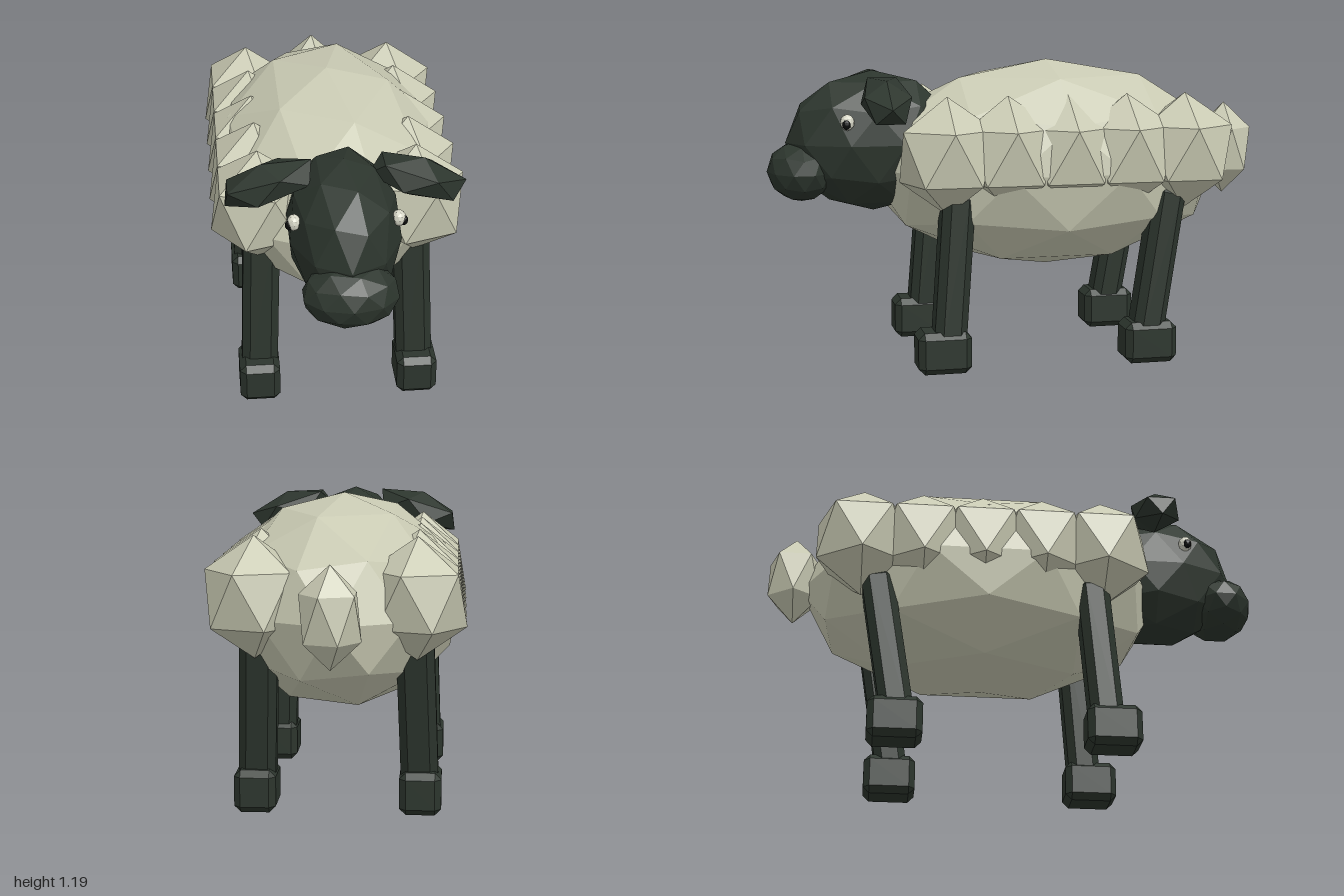
import * as THREE from 'three';
import { ConvexGeometry } from 'three/addons/geometries/ConvexGeometry.js';

// Faceted ball standing on a vertex, with flat normals
function facetedBall(detail) {
  const g = new THREE.IcosahedronGeometry(1, detail);
  g.rotateZ(-Math.atan(2 / (1 + Math.sqrt(5))));
  g.computeVertexNormals();
  return g;
}

// Box with all edges and corners cut off
function chamferBox(w, h, d, c) {
  const pts = [];
  for (const x of [-1, 1]) for (const y of [-1, 1]) for (const z of [-1, 1]) {
    const X = w / 2, Y = h / 2, Z = d / 2;
    pts.push(
      new THREE.Vector3(x * X, y * (Y - c), z * (Z - c)),
      new THREE.Vector3(x * (X - c), y * Y, z * (Z - c)),
      new THREE.Vector3(x * (X - c), y * (Y - c), z * Z));
  }
  return new ConvexGeometry(pts);
}

export function createModel() {
  const model = new THREE.Group();
  model.name = 'sheep';

  const material = (name, color) => {
    const m = new THREE.MeshStandardMaterial({ color });
    m.name = name;
    return m;
  };
  const wool = material('wool', 0xc9cab3);
  const dark = material('darkSkin', 0x2c352d);
  const white = material('eyeWhite', 0xd6d6c6);
  const black = material('pupil', 0x0b0c0b);

  const coarse = facetedBall(0);
  const fine = facetedBall(1);

  const add = (name, geometry, mat, pos, scale = [1, 1, 1]) => {
    const mesh = new THREE.Mesh(geometry, mat);
    mesh.name = name;
    mesh.position.set(...pos);
    mesh.scale.set(...scale);
    model.add(mesh);
    return mesh;
  };

  // Body and tail
  add('body', fine, wool, [0, 0.77, -0.13], [0.47, 0.42, 0.74]);
  add('tail', coarse, wool, [0, 0.81, -0.893], [0.125, 0.19, 0.123]);

  // Head and muzzle
  add('head', fine, dark, [0, 0.876, 0.58], [0.215, 0.28, 0.345]);
  add('muzzle', fine, dark, [0, 0.763, 0.865], [0.18, 0.122, 0.135]);

  const legShape = chamferBox(0.143, 0.62, 0.127, 0.03);
  const hoofShape = chamferBox(0.16, 0.165, 0.21, 0.025);

  for (const s of [1, -1]) {
    const side = s > 0 ? 'left' : 'right';

    // Row of wool tufts along the flank
    for (let i = 0; i < 5; i++) {
      add(side + 'Tuft' + (i + 1), coarse, wool, [s * 0.302, 0.842, 0.33 - i * 0.238], [0.205, 0.23, 0.21]);
    }

    // Drooping ear
    const ear = add(side + 'Ear', coarse, dark, [s * 0.275, 1.06, 0.56], [0.2, 0.08, 0.106]);
    ear.rotation.z = -s * 0.314;

    // Eye
    add(side + 'Eye', fine, white, [s * 0.19, 0.97, 0.7], [0.026, 0.032, 0.028]);
    add(side + 'Pupil', fine, black, [s * 0.207, 0.963, 0.705], [0.016, 0.02, 0.017]);

    // Legs, leaning slightly, each with a hoof
    for (const [part, z, lean, hoofZ] of [['Front', 0.31, 0.075, 0.355], ['Back', -0.514, 0.16, -0.475]]) {
      const leg = add(side + part + 'Leg', legShape, dark, [s * 0.302, 0.4, z]);
      leg.rotation.set(-lean, 0, s * 0.035);
      add(side + part + 'Hoof', hoofShape, dark, [s * 0.315, 0.0825, hoofZ]);
    }
  }

  return model;
}
